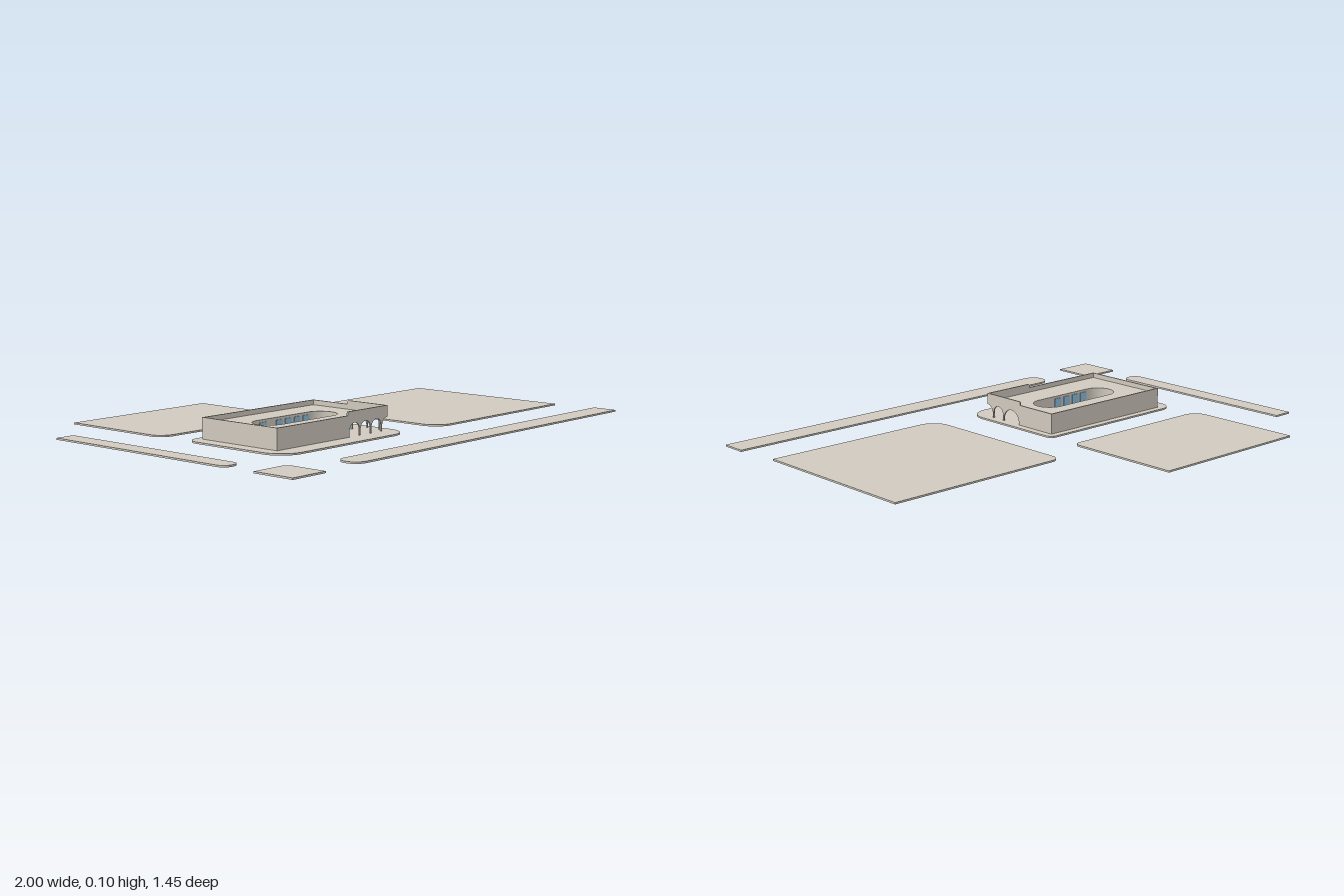
import * as THREE from 'three';

const BASE = 0.007, ROOF = 0.07, LOW = 0.09, HIGH = 0.105, ARCH = 0.06, WALL = 0.006;

export function createModel() {
  const model = new THREE.Group();
  const stone = new THREE.MeshStandardMaterial({ color: 0xd0c9be });
  const glass = new THREE.MeshStandardMaterial({ color: 0x8fbfdc });

  const add = (parent, name, geo, mat = stone) => {
    const mesh = new THREE.Mesh(geo, mat);
    mesh.name = name;
    parent.add(mesh);
    return mesh;
  };
  const box = (parent, name, x0, x1, y0, y1, z0, z1, mat) =>
    add(parent, name, new THREE.BoxGeometry(x1 - x0, y1 - y0, z1 - z0), mat)
      .position.set((x0 + x1) / 2, (y0 + y1) / 2, (z0 + z1) / 2);
  const extrude = (shape, depth) =>
    new THREE.ExtrudeGeometry(shape, { depth, bevelEnabled: false, curveSegments: 12 });
  // Plan shapes are drawn in (x, -z) and raised along y
  const raise = (shape, y0, y1) => extrude(shape, y1 - y0).rotateX(-Math.PI / 2).translate(0, y0, 0);

  // Rectangle in plan with its own radius at each corner
  function plan(x0, x1, z0, z1, [backLeft, backRight, frontRight, frontLeft], S = THREE.Shape) {
    const s = new S(), t = -z0, b = -z1, P = Math.PI;
    s.moveTo(x0 + frontLeft, b);
    const corner = (x, y, r, a) => {
      if (r) s.absarc(x, y, r, a, a + P / 2, false);
      else s.lineTo(x, y);
    };
    corner(x1 - frontRight, b + frontRight, frontRight, -P / 2);
    corner(x1 - backRight, t - backRight, backRight, 0);
    corner(x0 + backLeft, t - backLeft, backLeft, P / 2);
    corner(x0 + frontLeft, b + frontLeft, frontLeft, P);
    s.closePath();
    return s;
  }

  // Ground slabs: x0, x1, z0, z1, corner radii
  const slabs = {
    backBlock: [-0.715, -0.003, -0.725, -0.22, [0, 0, 0.03, 0.06]],
    plinth: [-0.715, -0.003, -0.09, 0.41, [0.06, 0.03, 0.09, 0.1]],
    rightBlock: [0.175, 0.98, -0.33, 0.41, [0.04, 0, 0, 0.08]],
    leftStrip: [-1, -0.917, -0.49, 0.4, [0, 0, 0.038, 0.038]],
    cornerBlock: [-1, -0.835, 0.54, 0.72, [0, 0.03, 0, 0]],
    frontStrip: [-0.65, 1, 0.595, 0.7, [0.05, 0, 0, 0.05]],
  };
  for (const [name, args] of Object.entries(slabs)) add(model, name, raise(plan(...args), 0, BASE));

  const building = new THREE.Group();
  building.name = 'building';
  model.add(building);
  const X0 = -0.655, X1 = -0.035, Z0 = -0.06, Z1 = 0.325;

  // Arch cut into the lower edge of a wall, running in +u; half arches open at a corner
  function arch(s, centre, r, from = Math.PI, to = 0) {
    if (from === Math.PI) s.lineTo(centre - r, BASE);
    s.absarc(centre, ARCH - r, r, from, to, true);
    if (to === 0) s.lineTo(centre + r, BASE);
  }

  // Front wall with three arches and a half arch at the corner
  const front = new THREE.Shape();
  front.moveTo(X0, BASE);
  for (const c of [-0.228, -0.164, -0.1]) arch(front, c, 0.029);
  arch(front, X1, 0.031, Math.PI, Math.PI / 2);
  front.lineTo(X1, HIGH);
  front.lineTo(-0.262, HIGH);
  front.quadraticCurveTo(-0.268, HIGH, -0.268, LOW);
  front.lineTo(X0, LOW);
  add(building, 'frontWall', extrude(front, WALL).translate(0, 0, Z1 - WALL));

  // Right wall, drawn in (-z, y), with a half arch, a small and a large arch
  const side = new THREE.Shape();
  side.moveTo(-Z1, ARCH);
  arch(side, -Z1, 0.034, Math.PI / 2, 0);
  arch(side, -0.257, 0.029);
  arch(side, -0.178, 0.046);
  side.lineTo(-Z0, BASE);
  side.lineTo(-Z0, LOW);
  side.lineTo(-0.125, LOW);
  side.quadraticCurveTo(-0.125, HIGH, -0.131, HIGH);
  side.lineTo(-Z1, HIGH);
  add(building, 'rightWall', extrude(side, WALL).rotateY(Math.PI / 2).translate(X1 - WALL, 0, 0));

  box(building, 'backWall', X0, X1, BASE, LOW, Z0, Z0 + WALL);
  box(building, 'leftWall', X0, X0 + WALL, BASE, LOW, Z0, Z1);

  // Recessed roof with an oval courtyard opening
  const oval = (grow, S) => plan(-0.55 - grow, -0.135 + grow, 0.06 - grow, 0.192 + grow,
    Array(4).fill(0.0655 + grow), S);
  const roof = plan(X0 + WALL, X1 - WALL, Z0 + WALL, Z1 - WALL, [0, 0, 0, 0]);
  roof.holes.push(oval(0, THREE.Path));
  add(building, 'roof', raise(roof, ROOF - 0.008, ROOF));

  // Courtyard wall
  const ring = oval(WALL);
  ring.holes.push(oval(0, THREE.Path));
  add(building, 'courtyardWall', raise(ring, BASE, ROOF - 0.008));

  // Glass panes on the courtyard's long sides
  const pane = (x, z, w) =>
    box(building, 'courtyardWindow', x, x + w, BASE + 0.004, ROOF - 0.01, z - 0.002, z + 0.002, glass);
  for (const x of [-0.47, -0.38, -0.33, -0.28, -0.23]) pane(x, 0.061, 0.036);
  for (const x of [-0.48, -0.43, -0.38, -0.33]) pane(x, 0.191, 0.036);

  // Entrance glazing behind the large arch
  for (const z of [0.155, 0.172, 0.189])
    box(building, 'entranceGlass', -0.104, -0.1, BASE, ROOF - 0.008, z, z + 0.015, glass);
  for (const z of [0.153, 0.17, 0.187, 0.204])
    box(building, 'entranceMullion', -0.105, -0.099, BASE, ROOF - 0.008, z, z + 0.002);

  return model;
}
